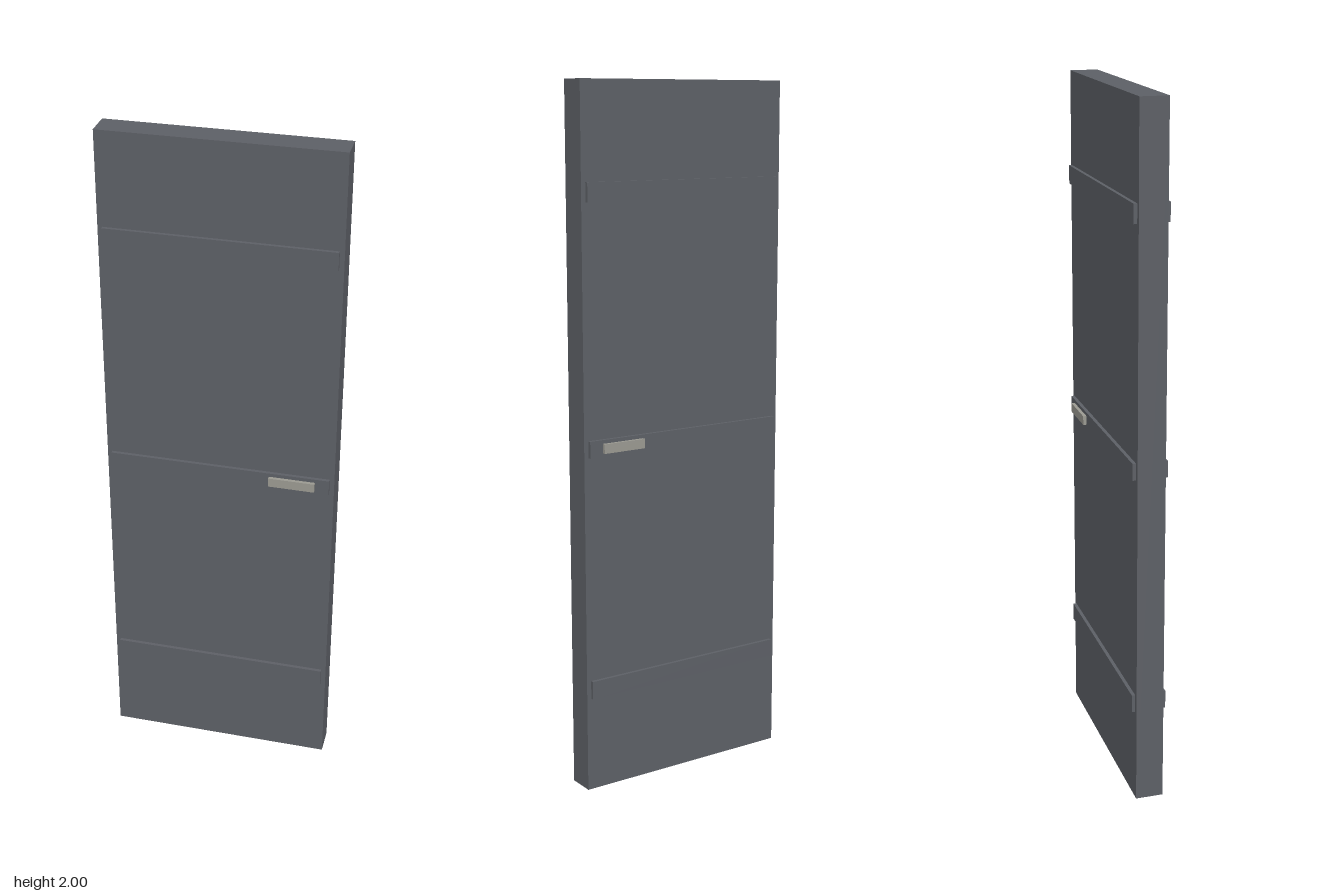
import * as THREE from 'three';

export function createModel() {
  const model = new THREE.Group();
  model.name = 'door';

  const darkSteel = new THREE.MeshStandardMaterial({ color: 0x5d6066 });
  darkSteel.name = 'dark steel';
  const paleMetal = new THREE.MeshStandardMaterial({ color: 0x9b9a92 });
  paleMetal.name = 'pale metal';

  const addBox = (name, material, [w, h, d], [x, y, z]) => {
    const mesh = new THREE.Mesh(new THREE.BoxGeometry(w, h, d), material);
    mesh.name = name;
    mesh.position.set(x, y, z);
    model.add(mesh);
  };

  // Door slab
  addBox('doorPanel', darkSteel, [0.667, 2, 0.08], [0, 1, 0]);

  // Raised bars and pull handle, repeated on both faces
  for (const [side, sign] of [['front', 1], ['back', -1]]) {
    addBox(side + 'TopBar', darkSteel, [0.64, 0.053, 0.01], [0, 1.704, sign * 0.045]);
    addBox(side + 'MiddleBar', darkSteel, [0.64, 0.048, 0.01], [0, 1.002, sign * 0.045]);
    addBox(side + 'BottomBar', darkSteel, [0.64, 0.053, 0.01], [0, 0.302, sign * 0.045]);
    addBox(side + 'Handle', paleMetal, [0.133, 0.027, 0.01], [0.213, 1.002, sign * 0.055]);
  }

  return model;
}
